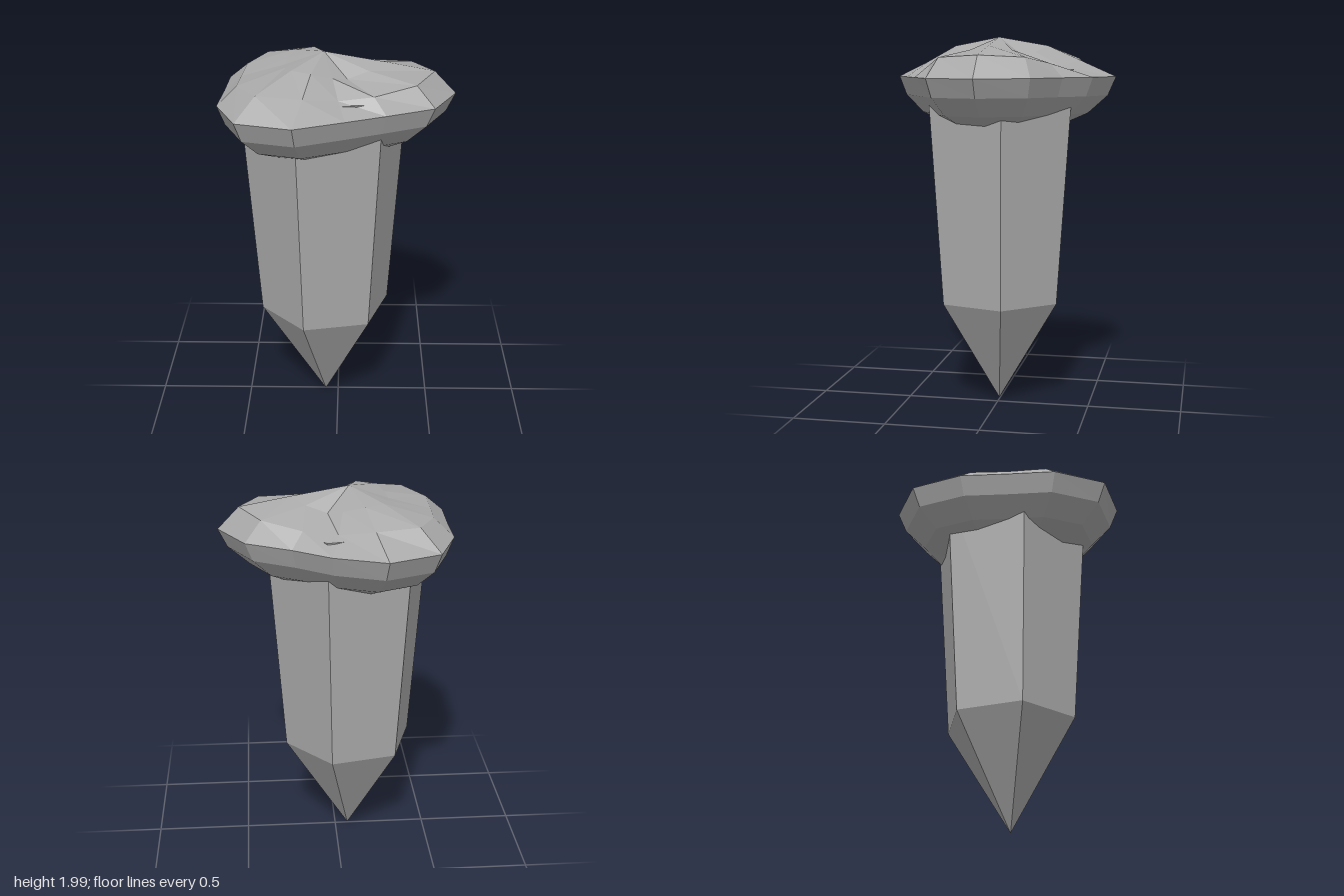
import * as THREE from 'three';

const stone = new THREE.MeshStandardMaterial({ color: 0xaaaaaa, flatShading: true });
stone.name = 'grey stone';

// Joins rings of points (top to bottom) with an end point above and below.
function loft(rings, top, bottom) {
  const n = rings[0].length;
  const pos = [...top, ...rings.flat(2), ...bottom];
  const last = 1 + rings.length * n;
  const at = (r, i) => 1 + r * n + (i % n);
  const idx = [];
  for (let i = 0; i < n; i++) {
    idx.push(0, at(0, i + 1), at(0, i));
    for (let r = 0; r < rings.length - 1; r++) {
      const a = at(r, i), b = at(r, i + 1), c = at(r + 1, i), d = at(r + 1, i + 1);
      idx.push(a, b, c, b, d, c);
    }
    idx.push(last, at(rings.length - 1, i), at(rings.length - 1, i + 1));
  }
  const g = new THREE.BufferGeometry();
  g.setAttribute('position', new THREE.Float32BufferAttribute(pos, 3));
  g.setIndex(idx);
  const flat = g.toNonIndexed();
  flat.computeVertexNormals();
  return flat;
}

// One ring around the axis, from a list of radii and a height or list of heights.
function ring(radii, heights, turn = 0) {
  return radii.map((r, i) => {
    const a = turn + (i / radii.length) * Math.PI * 2;
    return [r * Math.cos(a), Array.isArray(heights) ? heights[i] : heights, r * Math.sin(a)];
  });
}

export function createModel() {
  const model = new THREE.Group();
  model.name = 'spikedStone';

  // Six-sided shaft, tapering down to a point
  const turn = -Math.PI / 15;
  const six = (r) => Array(6).fill(r);
  const shaft = new THREE.Mesh(
    loft([ring(six(0.44), 1.83, turn), ring(six(0.35), 0.58, turn)], [0, 1.83, 0], [0, 0.01, 0]), stone);
  shaft.name = 'spike';

  // Three-lobed cap: rim radii at fourteen angles drive the rings below
  const rim = [0.67, 0.61, 0.495, 0.495, 0.61, 0.66, 0.58, 0.51, 0.56, 0.645, 0.63, 0.53, 0.49, 0.59];
  const shoulder = [0.56, 0.51, 0.40, 0.34, 0.42, 0.51, 0.47, 0.42, 0.45, 0.50, 0.43, 0.35, 0.40, 0.50];
  const shoulderY = [1.90, 1.89, 1.86, 1.845, 1.875, 1.89, 1.88, 1.87, 1.88, 1.89, 1.88, 1.845, 1.86, 1.89];
  const crown = [0.29, 0.25, 0.19, 0.21, 0.26, 0.25, 0.21, 0.20, 0.21, 0.25, 0.26, 0.21, 0.19, 0.25];
  const crownY = [1.95, 1.93, 1.90, 1.92, 1.955, 1.955, 1.94, 1.93, 1.94, 1.955, 1.955, 1.92, 1.90, 1.93];
  const scaled = (k) => rim.map((r) => r * k);
  const cap = new THREE.Mesh(
    loft([
      ring(crown, crownY),
      ring(shoulder, shoulderY),
      ring(rim, rim.map((r, i) => 1.785 + 0.007 * Math.abs(Math.sin(i * Math.PI / 14)))),
      ring(scaled(0.93), 1.69),
      ring(scaled(0.76), 1.595),
      ring(scaled(0.52), 1.53),
    ], [0, 2, 0], [0, 1.52, 0]), stone);
  cap.name = 'cap';

  model.add(shaft, cap);
  model.position.set(-0.07, 0, 0.005);
  return model;
}
